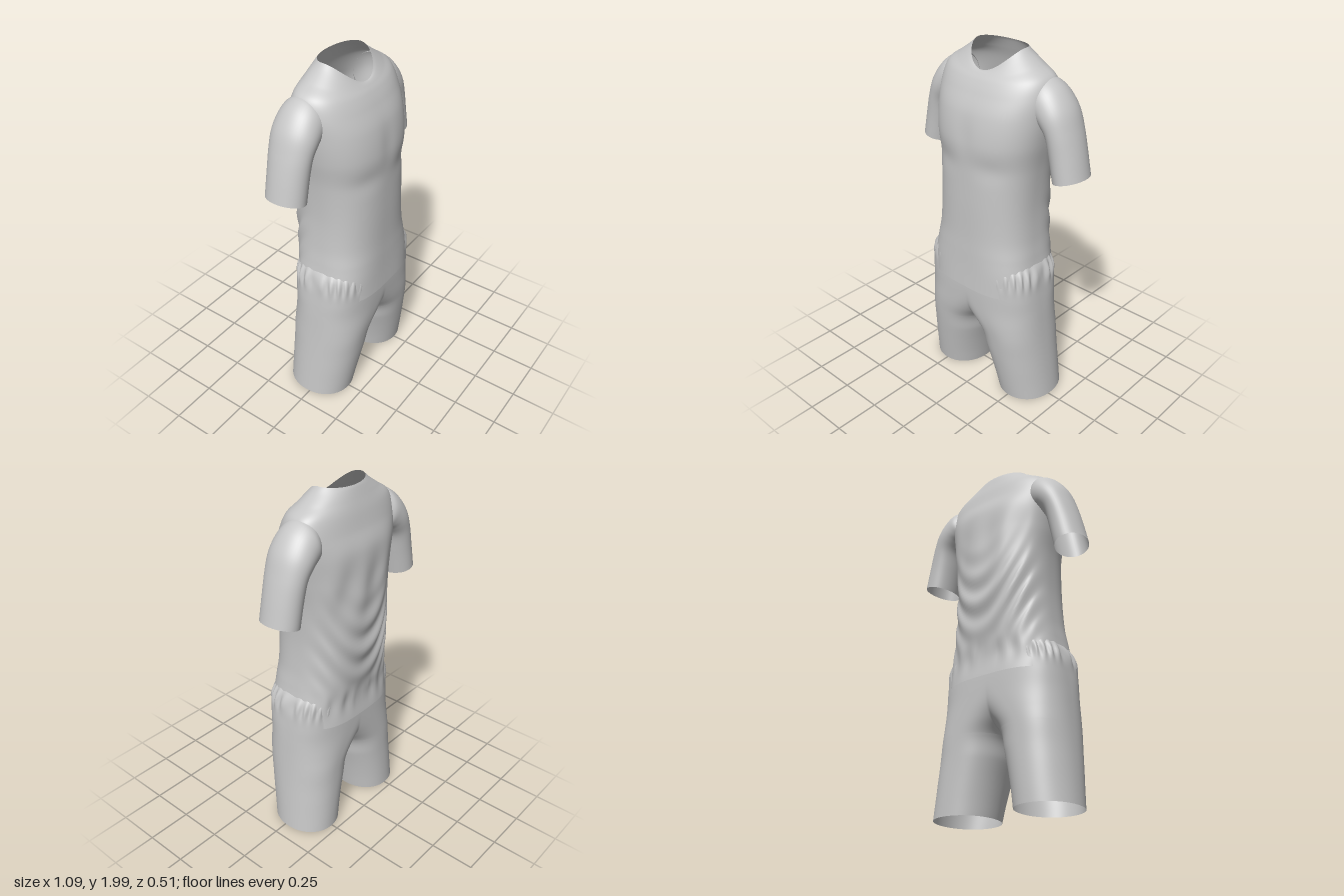
import * as THREE from 'three';
import { mergeGeometries, mergeVertices } from 'three/addons/utils/BufferGeometryUtils.js';

const fabric = new THREE.MeshStandardMaterial({ color: 0xc6c6c6, side: THREE.DoubleSide });
fabric.name = 'grey fabric';

// Smooth interpolation through rows of [key, value, value, ...]
function spline(rows) {
  const stride = rows[0].length - 1;
  const curve = new THREE.CubicInterpolant(
    rows.map(r => r[0]), rows.flatMap(r => r.slice(1)), stride, new Float32Array(stride));
  return t => Array.from(curve.evaluate(t));
}

const power = (v, n) => Math.sign(v) * Math.abs(v) ** (2 / n);
const bump = (v, centre, width) => Math.exp(-(((v - centre) / width) ** 2));

// Cloth sheet: point(u, v) goes around with u and upward with v
function sheet(point, nu, nv, flip = false) {
  const positions = [], index = [];
  for (let j = 0; j <= nv; j++) {
    for (let i = 0; i <= nu; i++) {
      const [x, y, z] = point(i / nu, j / nv);
      positions.push(flip ? -x : x, y, z);
      if (i === nu || j === nv) continue;
      const a = j * (nu + 1) + i, b = a + 1, c = a + nu + 1, d = c + 1;
      if (flip) index.push(a, b, c, b, d, c);
      else index.push(a, c, b, b, c, d);
    }
  }
  const geometry = new THREE.BufferGeometry();
  geometry.setAttribute('position', new THREE.Float32BufferAttribute(positions, 3));
  geometry.setIndex(index);
  return geometry;
}

function clothMesh(name, ...sheets) {
  const geometry = mergeVertices(mergeGeometries(sheets), 1e-4);
  geometry.computeVertexNormals();
  const mesh = new THREE.Mesh(geometry, fabric);
  mesh.name = name;
  return mesh;
}

// Shirt body: step, half width, front z, back z, side z, front y, side y, back y, squareness
const bodyRows = spline([
  [0, 0.33, 0.256, -0.226, 0.01, 0.70, 0.70, 0.70, 3],
  [1, 0.328, 0.25, -0.214, 0.01, 0.81, 0.81, 0.81, 3],
  [2, 0.314, 0.246, -0.225, 0.01, 0.91, 0.91, 0.91, 2.8],
  [3, 0.3, 0.242, -0.237, 0, 1.02, 1.02, 1.02, 2.6],
  [4, 0.291, 0.24, -0.25, 0, 1.2, 1.2, 1.2, 2.5],
  [5, 0.3, 0.236, -0.253, -0.01, 1.4, 1.4, 1.4, 2.4],
  [6, 0.322, 0.238, -0.248, -0.02, 1.55, 1.55, 1.55, 2.4],
  [7, 0.338, 0.214, -0.24, -0.04, 1.69, 1.68, 1.69, 2.4],
  [8, 0.345, 0.172, -0.21, -0.06, 1.79, 1.79, 1.79, 2.4],
  [9, 0.32, 0.142, -0.188, -0.06, 1.845, 1.875, 1.87, 2.3],
  [10, 0.25, 0.12, -0.167, -0.055, 1.873, 1.925, 1.93, 2.2],
  [11, 0.19, 0.107, -0.151, -0.05, 1.885, 1.967, 1.972, 2.1],
  [12, 0.156, 0.098, -0.143, -0.05, 1.888, 1.996, 1.988, 2],
]);

function bodyPoint(u, v) {
  const [rx, zf, zb, zc, yf, ys, yb, n] = bodyRows(v * 12);
  const a = u * Math.PI * 2, s = Math.sin(a);
  const x = rx * power(Math.cos(a), n);
  const y = THREE.MathUtils.lerp(ys, s > 0 ? yf : yb, s * s);
  let z = zc + (s > 0 ? zf - zc : zc - zb) * power(s, n);
  if (s < 0) {
    // hanging folds and waist gathers on the back
    const fade = Math.min(1, -s * 1.5);
    z += 0.009 * fade * Math.sin(38 * (y - 5 * (x - 0.03) ** 2)) * bump(y, 1.15, 0.22);
    z += 0.006 * fade * Math.sin(x * 65) * bump(y, 0.83, 0.06);
    z += 0.006 * fade * Math.sin(x * 34 + y * 6) * bump(y, 1.5, 0.15);
  } else {
    // soft chest modelling
    z -= 0.006 * s * bump(x, 0, 0.05) * bump(y, 1.58, 0.1);
    z -= 0.008 * s * bump(y, 1.42, 0.06) * bump(Math.abs(x), 0.17, 0.1);
  }
  return [x, y, z];
}

// Sleeve: step, outer x, outer y, inner x, inner y, half depth
const sleeveRows = spline([
  [0, 0.545, 1.412, 0.374, 1.37, 0.112],
  [1, 0.516, 1.54, 0.348, 1.5, 0.114],
  [2, 0.485, 1.65, 0.325, 1.6, 0.12],
  [3, 0.448, 1.75, 0.29, 1.645, 0.127],
  [4, 0.39, 1.83, 0.265, 1.655, 0.126],
  [5, 0.33, 1.874, 0.25, 1.66, 0.12],
  [6, 0.285, 1.885, 0.235, 1.67, 0.1],
]);

function sleevePoint(u, v) {
  const [ox, oy, ix, iy, depth] = sleeveRows(v * 6);
  const a = u * Math.PI * 2, k = (1 + Math.cos(a)) / 2;
  return [ix + (ox - ix) * k, iy + (oy - iy) * k, -0.06 + depth * Math.sin(a)];
}

// Shorts half: y, inner x, outer x, front z, back z, squareness.
// A negative inner x is cut at the centre seam, so both halves join above the crotch.
const shortsRows = spline([
  [0.01, 0.09, 0.42, 0.165, -0.211, 2.1],
  [0.1, 0.075, 0.412, 0.18, -0.21, 2.1],
  [0.2, 0.055, 0.403, 0.196, -0.208, 2.15],
  [0.3, 0.03, 0.394, 0.211, -0.206, 2.2],
  [0.42, 0, 0.384, 0.226, -0.205, 2.3],
  [0.5, -0.075, 0.378, 0.235, -0.205, 2.4],
  [0.6, -0.2, 0.371, 0.24, -0.205, 2.6],
  [0.7, -0.315, 0.362, 0.242, -0.204, 3],
  [0.8, -0.347, 0.349, 0.238, -0.2, 3.2],
  [0.85, -0.332, 0.332, 0.23, -0.198, 3.1],
  [0.89, -0.305, 0.305, 0.215, -0.19, 3],
]);

function shortsPoint(u, v) {
  const y = v < 0.4 ? 0.01 + 0.41 * (v / 0.4) : 0.42 + 0.47 * ((v - 0.4) / 0.6) ** 2;
  const [xin, xout, zf, zb, n] = shortsRows(y);
  const cx = (xin + xout) / 2, rx = (xout - xin) / 2, zc = (zf + zb) / 2;
  const cut = THREE.MathUtils.clamp(cx / rx, 0, 1);
  const end = v >= 0.4 ? Math.acos(-(cut ** (n / 2))) : Math.PI;
  const a = (u * 2 - 1) * end;
  const side = Math.max(0, Math.cos(a));
  // elastic gathers at the sides of the waist
  const gather = 1 + 0.022 * Math.sin(a * 30) * bump(y, 0.81, 0.045) * Math.min(1, side * 2);
  const x = cx + rx * power(Math.cos(a), n) * gather;
  const atSeam = v >= 0.4 && (u === 0 || u === 1);
  return [atSeam ? 0 : Math.max(0, x), y, zc + (zf - zb) / 2 * power(Math.sin(a), n) * gather];
}

export function createModel() {
  const model = new THREE.Group();
  model.name = 'shirtAndShorts';

  const shirt = new THREE.Group();
  shirt.name = 'shirt';
  shirt.add(clothMesh('shirtBody', sheet(bodyPoint, 128, 120)));
  shirt.add(clothMesh('leftSleeve', sheet(sleevePoint, 48, 36)));
  shirt.add(clothMesh('rightSleeve', sheet(sleevePoint, 48, 36, true)));

  const shorts = clothMesh('shorts',
    sheet(shortsPoint, 120, 80), sheet(shortsPoint, 120, 80, true));

  model.add(shirt, shorts);
  return model;
}
